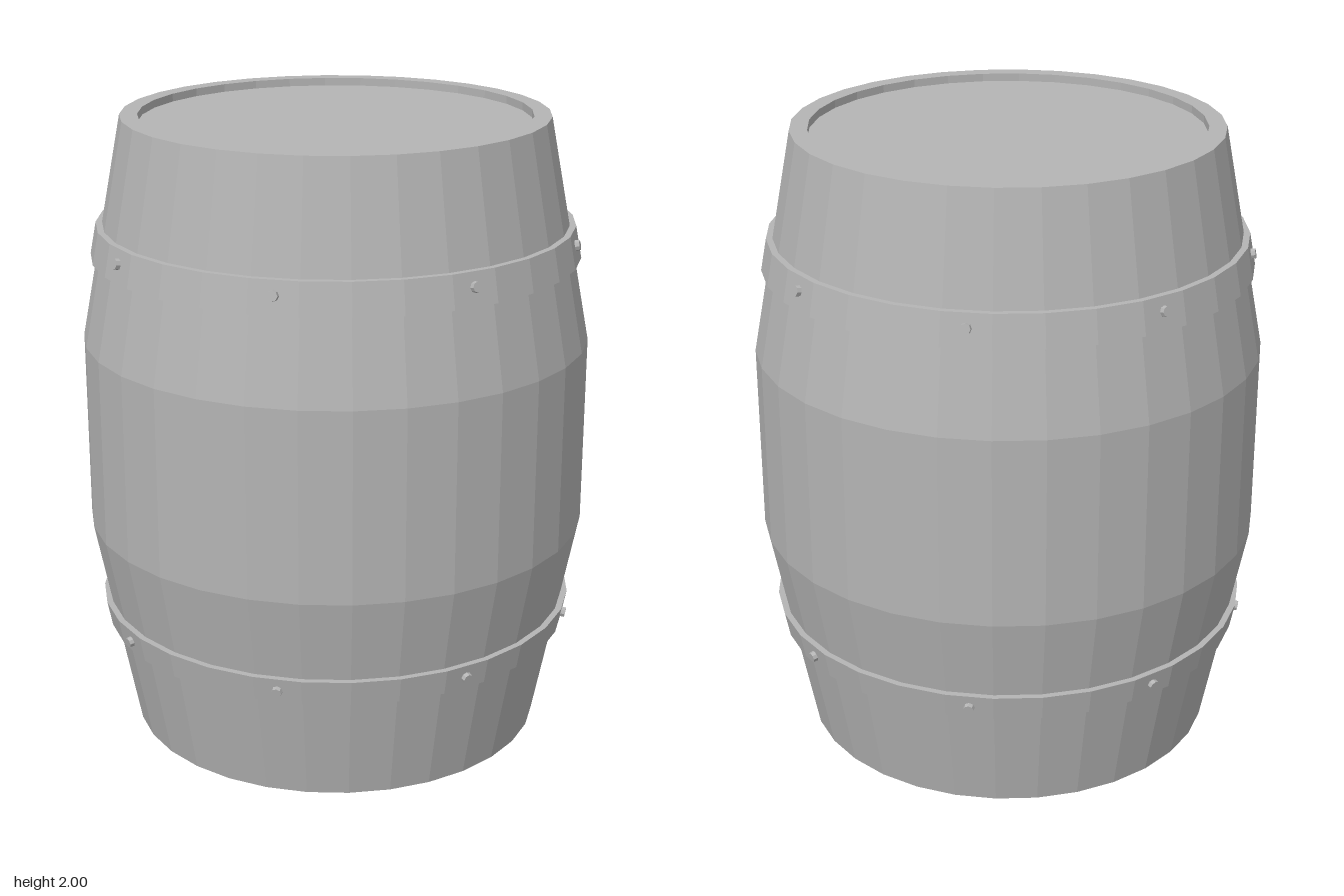
import * as THREE from 'three';

const SIDES = 32;

export function createModel() {
  const barrel = new THREE.Group();
  barrel.name = 'barrel';
  const grey = new THREE.MeshStandardMaterial({ color: 0xb4b4b4 });
  grey.name = 'plain grey';

  const add = (parent, name, geometry) => {
    const flat = geometry.index ? geometry.toNonIndexed() : geometry;
    flat.computeVertexNormals();
    const mesh = new THREE.Mesh(flat, grey);
    mesh.name = name;
    parent.add(mesh);
    return mesh;
  };
  const lathe = (points) =>
    new THREE.LatheGeometry(points.map(([r, y]) => new THREE.Vector2(r, y)), SIDES);

  // Outside radius of the staves at a given height
  const radiusAt = (y) => 0.8 - 0.135 * Math.max(0, Math.abs(y - 1) - 0.3) / 0.7;

  // Staves with a flat rim and a shallow lip at both ends
  add(barrel, 'staves', lathe([
    [0.61, 0.025], [0.61, 0], [0.665, 0], [0.8, 0.7],
    [0.8, 1.3], [0.665, 2], [0.61, 2], [0.61, 1.975],
  ]));

  // Recessed heads closing the barrel
  const lid = add(barrel, 'topHead', new THREE.CircleGeometry(0.61, SIDES));
  lid.rotation.x = -Math.PI / 2;
  lid.position.y = 1.975;
  const base = add(barrel, 'bottomHead', new THREE.CircleGeometry(0.61, SIDES));
  base.rotation.x = Math.PI / 2;
  base.position.y = 0.025;

  // Hoops following the slope of the staves, each held by eight rivets
  const thickness = 0.02;
  for (const [label, low, high, rivetY] of [
    ['lower', 0.35, 0.432, 0.39],
    ['upper', 1.563, 1.664, 1.62],
  ]) {
    const hoop = new THREE.Group();
    hoop.name = label + 'Hoop';
    barrel.add(hoop);
    const a = radiusAt(low), b = radiusAt(high);
    add(hoop, label + 'Band', lathe([
      [a - 0.005, low], [a + thickness, low],
      [b + thickness, high], [b - 0.005, high],
    ]));

    const tilt = Math.atan2(a - b, high - low);
    const faceRadius = (radiusAt(rivetY) + thickness) * Math.cos(Math.PI / SIDES);
    for (let i = 0; i < 8; i++) {
      const pivot = new THREE.Group();
      pivot.name = label + 'RivetMount';
      pivot.rotation.y = (2.5 + 4 * i) * (2 * Math.PI / SIDES);
      hoop.add(pivot);
      const rivet = add(pivot, label + 'Rivet', new THREE.CylinderGeometry(0.016, 0.018, 0.026, 8));
      rivet.rotation.x = Math.PI / 2 - tilt;
      rivet.position.set(0, rivetY, faceRadius + 0.001);
    }
  }
  return barrel;
}
